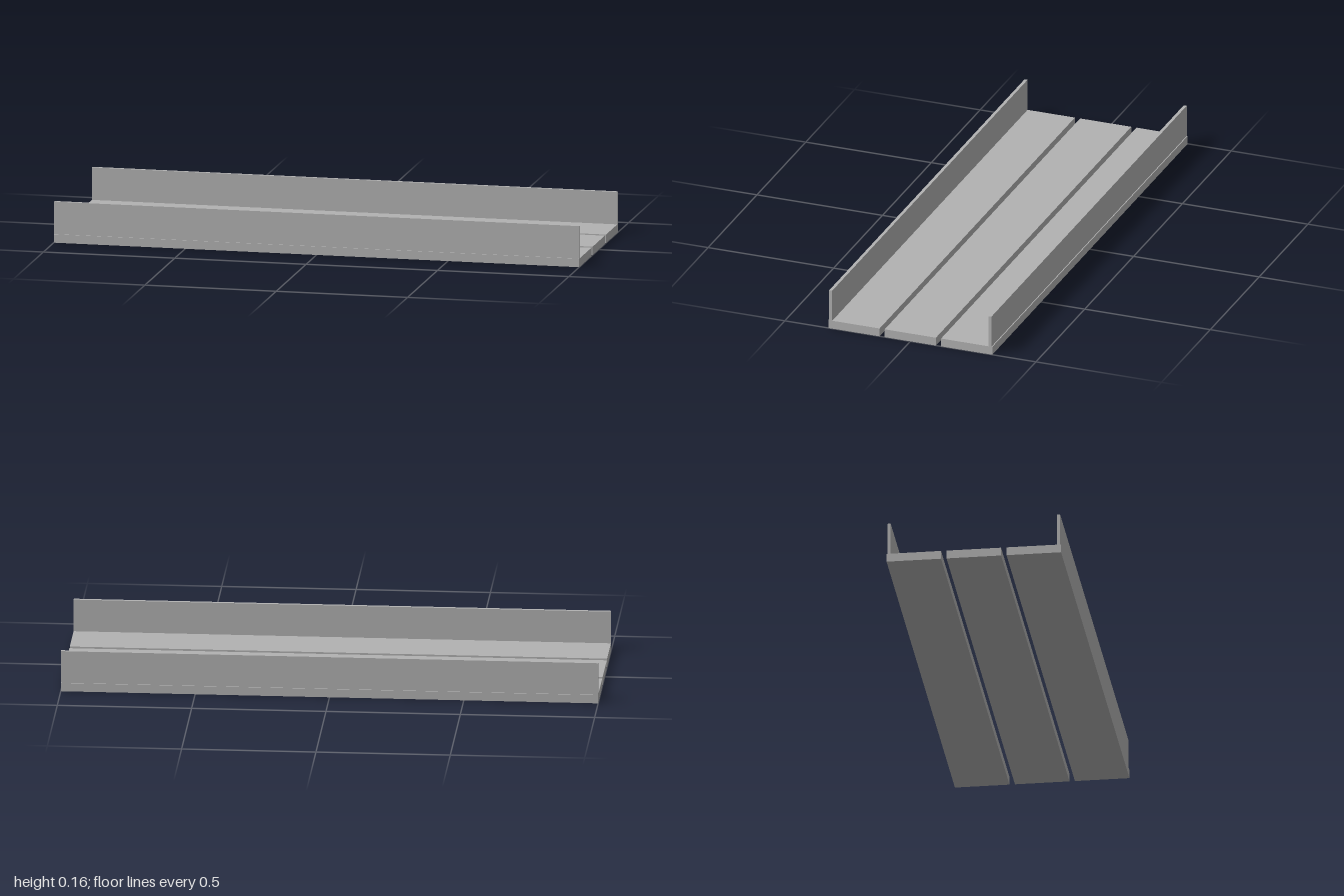
import * as THREE from 'three';

const LENGTH = 2;
const PLANK = { height: 0.032, width: 0.204, pitch: 0.2245 };
const RAIL = { height: 0.123, width: 0.012, z: 0.317 };

export function createModel() {
  const model = new THREE.Group();
  model.name = 'plankTray';
  const grey = new THREE.MeshStandardMaterial({ color: 0xb2b2b2 });
  grey.name = 'grey';

  // Full-length bar resting at height y
  const addBar = (name, { height, width }, y, z) => {
    const bar = new THREE.Mesh(new THREE.BoxGeometry(LENGTH, height, width), grey);
    bar.name = name;
    bar.position.set(0, y + height / 2, z);
    model.add(bar);
  };

  // Three floor planks with narrow gaps
  ['backPlank', 'middlePlank', 'frontPlank'].forEach((name, i) =>
    addBar(name, PLANK, 0, (i - 1) * PLANK.pitch));

  // Upright rails, set slightly in from the outer plank edges
  addBar('backRail', RAIL, PLANK.height, -RAIL.z);
  addBar('frontRail', RAIL, PLANK.height, RAIL.z);

  return model;
}
